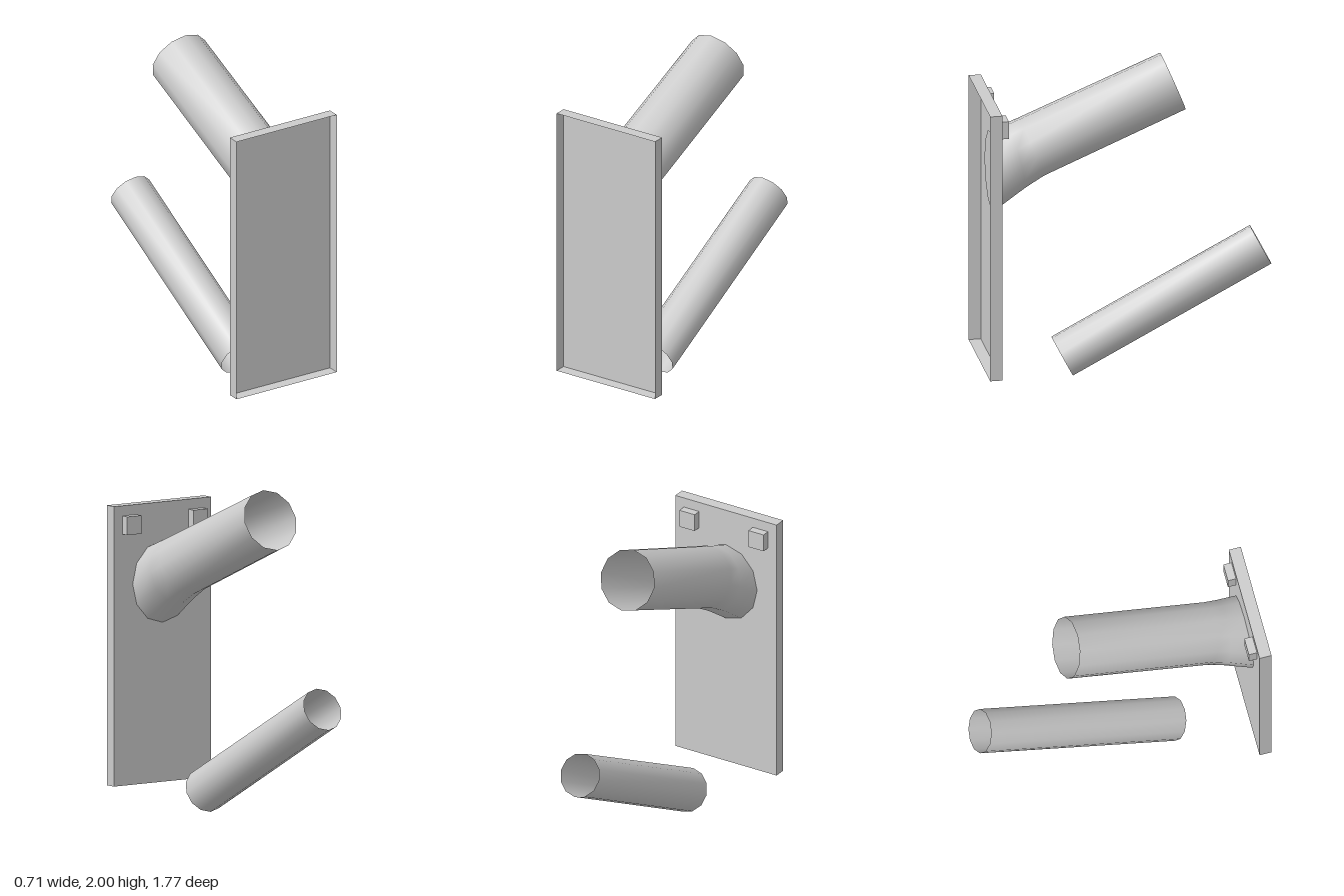
import * as THREE from 'three';

const SIDES = 12;

// Open tube through elliptical rings, each given by its top and bottom point in (z, y) and its half width in x
function loftTube(rings) {
  const positions = [], index = [];
  for (const { top, bottom, halfWidth } of rings) {
    const cz = (top[0] + bottom[0]) / 2, cy = (top[1] + bottom[1]) / 2;
    for (let i = 0; i < SIDES; i++) {
      const a = (i / SIDES) * Math.PI * 2, c = Math.cos(a);
      positions.push(Math.sin(a) * halfWidth, cy + c * (top[1] - cy), cz + c * (top[0] - cz));
    }
  }
  for (let r = 0; r < rings.length - 1; r++) {
    for (let i = 0; i < SIDES; i++) {
      const a = r * SIDES + i, b = r * SIDES + (i + 1) % SIDES;
      index.push(a, b, a + SIDES, b, b + SIDES, a + SIDES);
    }
  }
  const geometry = new THREE.BufferGeometry();
  geometry.setAttribute('position', new THREE.Float32BufferAttribute(positions, 3));
  geometry.setIndex(index);
  geometry.computeVertexNormals();
  return geometry;
}

export function createModel() {
  const model = new THREE.Group();
  const grey = new THREE.MeshStandardMaterial({ color: 0xcccccc, side: THREE.DoubleSide });
  grey.name = 'lightGrey';

  const add = (name, geometry, x = 0, y = 0, z = 0) => {
    const mesh = new THREE.Mesh(geometry, grey);
    mesh.name = name;
    mesh.position.set(x, y, z);
    model.add(mesh);
    return mesh;
  };

  // Mounting plate: a shallow tray, open at the front (the +z face is left out)
  const tray = new THREE.BoxGeometry(0.714, 1.686, 0.074);
  tray.setIndex(Array.from(tray.index.array).filter((_, i) => i < 24 || i >= 30));
  tray.clearGroups();
  add('mountingPlate', tray, 0, 0.968, 0.846);

  // Upper tube, flaring where it meets the plate
  add('upperTube', loftTube([
    { top: [0.809, 1.58], bottom: [0.809, 1.085], halfWidth: 0.22 },
    { top: [0.705, 1.62], bottom: [0.615, 1.22], halfWidth: 0.197 },
    { top: [0.641, 1.645], bottom: [0.498, 1.29], halfWidth: 0.188 },
    { top: [-0.22, 2.0], bottom: [-0.36, 1.655], halfWidth: 0.187 },
  ]));

  // Closed base of the upper tube, seen inside the tray
  add('upperTubeBase', new THREE.CircleGeometry(1, SIDES), 0, 1.3325, 0.812).scale.set(0.22, 0.2475, 1);

  // Separate lower tube, open at both ends
  add('lowerTube', loftTube([
    { top: [0.443, 0.238], bottom: [0.32, 0], halfWidth: 0.133 },
    { top: [-0.76, 0.867], bottom: [-0.883, 0.632], halfWidth: 0.133 },
  ]));

  // Pair of small blocks on the back of the plate
  for (const side of [-1, 1]) {
    add(side > 0 ? 'leftBlock' : 'rightBlock', new THREE.BoxGeometry(0.107, 0.11, 0.05), side * 0.243, 1.695, 0.784);
  }

  return model;
}
